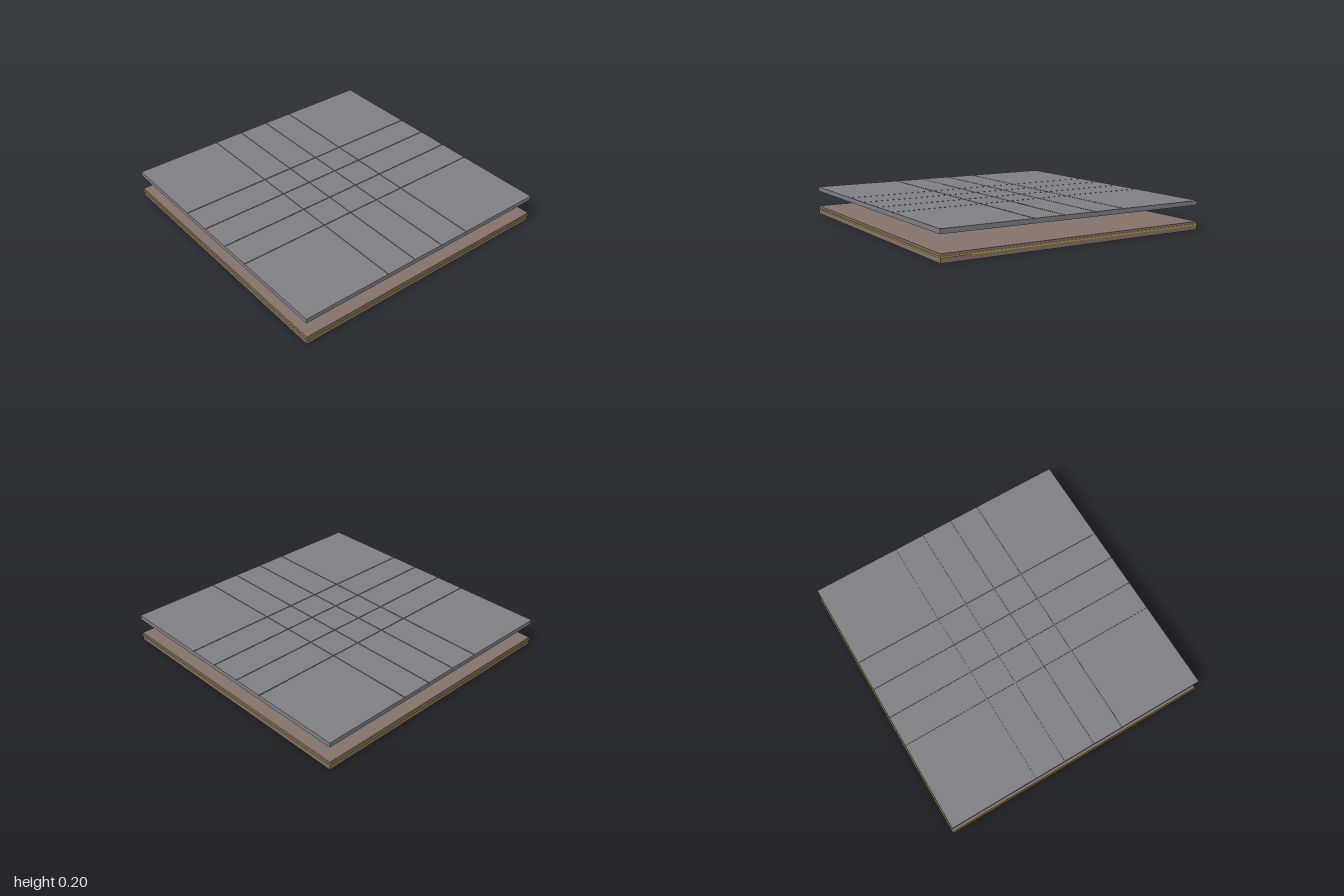
import * as THREE from 'three';

const HALF = 0.994;

export function createModel() {
  const model = new THREE.Group();
  model.name = 'layeredPanel';
  const stone = new THREE.MeshStandardMaterial({ color: 0x807f85 });
  const wood = new THREE.MeshStandardMaterial({ color: 0x85736b });
  const gold = new THREE.MeshStandardMaterial({ color: 0xb8a040 });

  // Box spanning given x and z ranges between two heights
  const slab = (name, material, [x0, x1], [z0, z1], y0, y1, parent = model) => {
    const mesh = new THREE.Mesh(new THREE.BoxGeometry(x1 - x0, y1 - y0, z1 - z0), material);
    mesh.position.set((x0 + x1) / 2, (y0 + y1) / 2, (z0 + z1) / 2);
    mesh.name = name;
    parent.add(mesh);
  };
  const full = [-HALF, HALF];

  // Lower board with a slightly proud trim band around its edge
  slab('baseBoard', wood, full, full, 0, 0.058);
  slab('trimBand', gold, [-1, 1], [-1, 1], 0.032, 0.042);

  // Upper plate floating above the base
  slab('topPlate', stone, full, full, 0.172, 0.199);

  // Surface tiles separated by narrow shallow grooves
  const tiles = new THREE.Group();
  tiles.name = 'surfaceTiles';
  model.add(tiles);
  const groove = 0.003;
  const cuts = [-HALF - groove, -0.347, -0.118, 0.118, 0.347, HALF + groove];
  const span = (i) => [cuts[i] + groove, cuts[i + 1] - groove];
  for (let i = 0; i < 5; i++) {
    for (let j = 0; j < 5; j++) slab('tile', stone, span(i), span(j), 0.199, 0.204, tiles);
  }
  return model;
}
